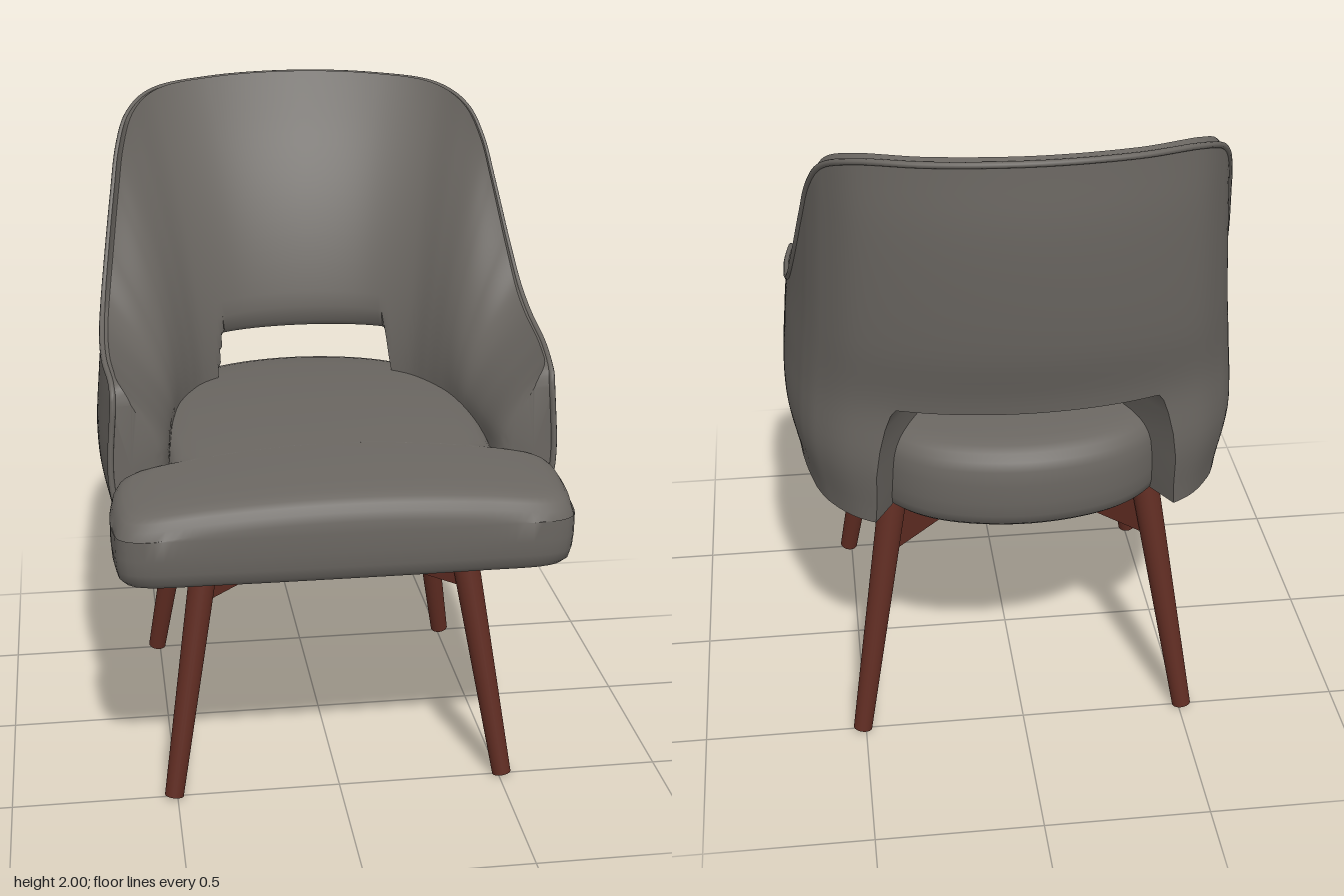
import * as THREE from 'three';
import { toCreasedNormals } from 'three/addons/utils/BufferGeometryUtils.js';

const V = (x, y, z) => new THREE.Vector3(x, y, z);
const { clamp, smoothstep } = THREE.MathUtils;

// Skin over closed rings of points; optional flat caps at both ends
function loft(rings, caps, crease) {
  const n = rings[0].length, pos = [], idx = [];
  rings.forEach(r => r.forEach(p => pos.push(p.x, p.y, p.z)));
  for (let i = 0; i < rings.length - 1; i++) {
    for (let k = 0; k < n; k++) {
      const a = i * n + k, c = i * n + (k + 1) % n;
      idx.push(a, a + n, c, c, a + n, c + n);
    }
  }
  if (caps) {
    [0, rings.length - 1].forEach((i, end) => {
      const m = V(0, 0, 0);
      rings[i].forEach(p => m.addScaledVector(p, 1 / n));
      const centre = pos.length / 3;
      pos.push(m.x, m.y, m.z);
      for (let k = 0; k < n; k++) {
        const a = i * n + k, b = i * n + (k + 1) % n;
        if (end) idx.push(centre, b, a);
        else idx.push(centre, a, b);
      }
    });
  }
  const g = new THREE.BufferGeometry();
  g.setAttribute('position', new THREE.Float32BufferAttribute(pos, 3));
  g.setIndex(idx);
  return toCreasedNormals(g, crease);
}

// Mirror a half path (ending on x = 0) to the other side
const mirrored = half => [...half, ...half.slice(0, -1).reverse().map(p => V(-p.x, p.y, p.z))];

// Rim of the shell: plan position plus rim height
const rim = new THREE.CatmullRomCurve3(mirrored([
  V(0.66, 1.23, 0.39), V(0.664, 1.275, 0.375), V(0.668, 1.29, 0.34), V(0.685, 1.31, 0.2),
  V(0.69, 1.345, 0.02), V(0.686, 1.41, -0.1), V(0.675, 1.53, -0.2), V(0.655, 1.71, -0.31),
  V(0.638, 1.82, -0.38), V(0.6, 1.91, -0.47), V(0.51, 1.963, -0.58),
  V(0.3, 1.983, -0.675), V(0, 1.99, -0.715),
]));

// Inner foot of the padding, point for point opposite the rim
const padFoot = new THREE.CatmullRomCurve3(mirrored([
  V(0.535, 0, 0.385), V(0.51, 0, 0.37), V(0.492, 0, 0.335), V(0.475, 0, 0.2),
  V(0.462, 0, 0.08), V(0.452, 0, 0.02), V(0.441, 0, -0.04), V(0.427, 0, -0.095),
  V(0.41, 0, -0.14), V(0.382, 0, -0.2), V(0.332, 0, -0.275),
  V(0.195, 0, -0.36), V(0, 0, -0.39),
]));

// Width and depth factors of the shell by height, from y = 0.8 to y = 2
const profile = new THREE.SplineCurve([
  [0.95, 0.88], [1, 0.9], [0.985, 0.885], [0.955, 0.95], [0.935, 0.985], [0.92, 1], [0.915, 0.985],
].map(([x, z]) => new THREE.Vector2(x, z)));

function outer(p, y) {
  const f = profile.getPoint(clamp((y - 0.8) / 1.2, 0, 1));
  return V(p.x * f.x, y, p.z < 0 ? p.z * f.y : p.z);
}

// Cross-section of the shell at u: up the outside, down the padded inside
function shellRing(u) {
  const t = rim.getUtoTmapping(u);
  const p = rim.getPoint(t), foot = padFoot.getPoint(t);
  const opening = clamp((0.44 - Math.abs(p.x) * 0.95) / 0.08, 0, 1);
  const bottom = 0.8 + 0.4 * Math.sin(opening * Math.PI / 2);
  const crest = Math.max(p.y, 1.29);
  const lean = 0.03 * Math.abs(rim.getTangent(t).y) * smoothstep(-p.z, 0, 0.2);
  const ring = [], steps = 30;
  for (let k = 0; k <= steps; k++) {
    ring.push(outer(p, Math.max(bottom, 0.8 + (p.y - 0.8) * k / steps)));
  }
  for (let k = 0; k <= steps; k++) {
    const y = Math.max(bottom, p.y - (p.y - 0.8) * (k / steps) ** 1.4);
    const d = crest - y;
    const s = clamp(d / (crest - 1.07), 0, 1);
    const low = clamp((bottom + 0.05 - y) / 0.05, 0, 1);
    const w = 0.09 + 0.91 * (1 - (1 - s) ** 1.7) - 0.12 * low * low;
    const q = outer(p, y);
    q.x += (foot.x * Math.sign(p.x * foot.x || 1) - q.x) * w;
    q.z += (foot.z - q.z) * w + lean * Math.exp(-d / 0.15);
    q.y += 0.01 * Math.exp(-d / 0.05);
    ring.push(q);
  }
  return ring;
}

function shellGeometry() {
  const rings = [];
  for (let i = 0; i <= 240; i++) rings.push(shellRing(i / 240));
  return loft(rings, true, 0.8);
}

// Welt along the rim and down the front of both arms
function pipingGeometry() {
  const first = rim.getPointAt(0), side = [], top = [];
  for (let y = 0.82; y < 1.2; y += 0.08) side.push(outer(first, y));
  for (let i = 0; i <= 90; i++) {
    const p = rim.getPointAt(i / 90);
    top.push(outer(p, p.y));
  }
  const other = side.map(p => V(-p.x, p.y, p.z)).reverse();
  return new THREE.TubeGeometry(new THREE.CatmullRomCurve3([...side, ...top, ...other]), 260, 0.009, 8);
}

// Domed T-shaped cushion: one outline shrunk through rolled edges
function seatGeometry() {
  const half = [
    V(0, 0, 0.715), V(0.4, 0, 0.712), V(0.6, 0, 0.703), V(0.65, 0, 0.675), V(0.668, 0, 0.6),
    V(0.668, 0, 0.46), V(0.655, 0, 0.412), V(0.62, 0, 0.398), V(0.515, 0, 0.382), V(0.505, 0, 0.1),
    V(0.49, 0, -0.2), V(0.42, 0, -0.42), V(0.28, 0, -0.55), V(0, 0, -0.61),
  ];
  const path = mirrored(half).slice(0, -1);
  const outline = new THREE.CatmullRomCurve3(path, true).getSpacedPoints(180).slice(0, -1);
  const dome = (x, z) => 1.085 - 0.04 * (x / 0.6) ** 2 - 0.05 * (z / 0.7) ** 2;
  // [scale, drop below the dome]
  const upper = [[0, 0], [0.2, 0], [0.4, 0], [0.6, 0], [0.8, 0], [0.9, 0.002], [0.94, 0.008],
    [0.965, 0.018], [0.985, 0.036], [0.996, 0.06]];
  // [scale, height]
  const lower = [[1, 0.94], [1, 0.88], [0.995, 0.835], [0.985, 0.805], [0.965, 0.789], [0.94, 0.783],
    [0, 0.783]];
  const ring = (s, height) => outline.map(p => {
    const x = p.x * s, dz = p.z - 0.35;
    const z = 0.35 + dz * (dz > 0 ? s * s : s);
    return V(x, height(x, z), z);
  });
  return loft([
    ...upper.map(([s, d]) => ring(s, (x, z) => dome(x, z) - d)),
    ...lower.map(([s, y]) => ring(s, () => y)),
  ], false, 0.9);
}

export function createModel() {
  const fabric = new THREE.MeshStandardMaterial({ color: 0x6a6661 });
  fabric.name = 'grey upholstery';
  const wood = new THREE.MeshStandardMaterial({ color: 0x5f2c22 });
  wood.name = 'red brown wood';

  const chair = new THREE.Group();
  chair.name = 'armchair';
  const add = (name, geometry, material) => {
    const mesh = new THREE.Mesh(geometry, material);
    mesh.name = name;
    chair.add(mesh);
    return mesh;
  };

  add('backrestShell', shellGeometry(), fabric);
  add('piping', pipingGeometry(), fabric);
  add('seatCushion', seatGeometry(), fabric);

  // Splayed tapered legs, each tied to the hub by a diagonal rail
  for (const sx of [1, -1]) {
    for (const sz of [1, -1]) {
      const foot = V(0.51 * sx, 0.006, 0.505 * sz), head = V(0.382 * sx, 0.8, 0.372 * sz);
      const dir = head.clone().sub(foot);
      const leg = add('leg', new THREE.CylinderGeometry(0.043, 0.029, dir.length(), 24), wood);
      leg.position.copy(foot).add(head).multiplyScalar(0.5);
      leg.quaternion.setFromUnitVectors(V(0, 1, 0), dir.normalize());

      const rail = add('rail', new THREE.BoxGeometry(0.55, 0.175, 0.04), wood);
      rail.position.set(0.196 * sx, 0.6975, 0.192 * sz);
      rail.rotation.y = -Math.PI / 4 * sx * sz;
    }
  }
  const hub = add('hub', new THREE.BoxGeometry(0.31, 0.165, 0.31), wood);
  hub.position.y = 0.7025;

  return chair;
}
